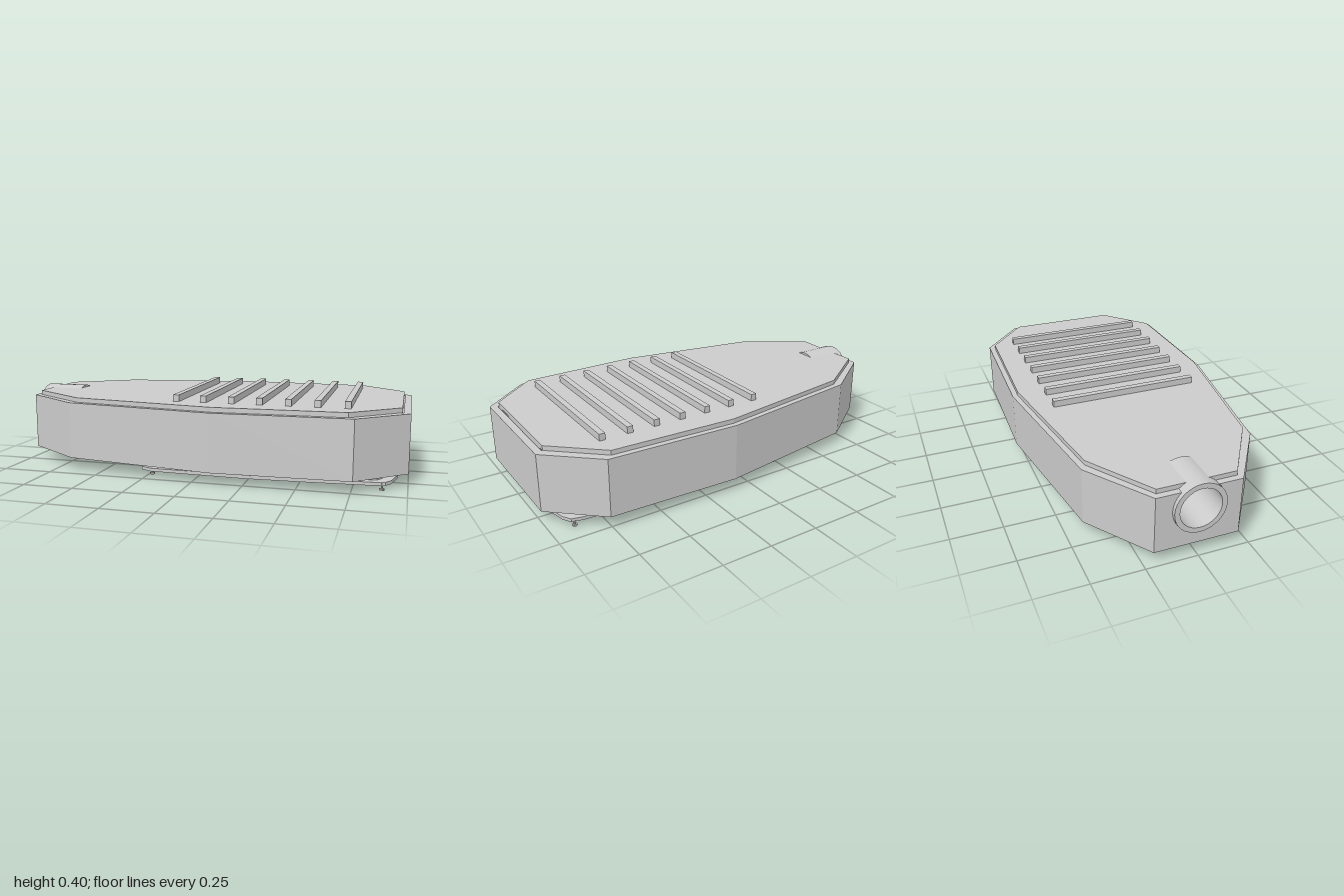
import * as THREE from 'three';

const material = new THREE.MeshStandardMaterial({ color: 0xcccccc, flatShading: true });
const smooth = new THREE.MeshStandardMaterial({ color: 0xcccccc, side: THREE.DoubleSide });

// Half outlines as [x, z] on the +z side, mirrored to make closed plans
const HOUSING = [[-0.98, 0.205], [-0.67, 0.42], [0.1, 0.535], [0.76, 0.515], [1, 0.305]];
const INNER = [[-0.95, 0.19], [-0.655, 0.385], [0.1, 0.497], [0.74, 0.478], [0.965, 0.285]];
const LID = [[-0.95, 0.19], [-0.64, 0.395], [0.1, 0.508], [0.73, 0.487], [0.96, 0.285]];
const FRAME = [[-0.305, 0.36], [-0.285, 0.41], [-0.23, 0.435], [0.25, 0.45], [0.55, 0.435],
  [0.85, 0.412], [0.9, 0.4], [0.925, 0.36], [0.95, 0.25]];
const COVER = [[-0.87, 0.17], [-0.83, 0.225], [-0.68, 0.325], [-0.6, 0.345], [-0.31, 0.345], [-0.29, 0.32]];

const mirrored = half => [...half, ...half.map(([x, z]) => [x, -z]).reverse()]
  .map(([x, z]) => new THREE.Vector2(x, z));

const scaled = (half, cx, sx, sz) => half.map(([x, z]) => [cx + (x - cx) * sx, z * sz]);

function add(group, name, geometry, x = 0, y = 0, z = 0, mat = material) {
  const mesh = new THREE.Mesh(geometry, mat);
  mesh.name = name;
  mesh.position.set(x, y, z);
  group.add(mesh);
  return mesh;
}

// Horizontal slab between two heights
function slab(points, y0, y1, hole) {
  const shape = new THREE.Shape(points);
  if (hole) shape.holes.push(new THREE.Path(hole));
  return new THREE.ExtrudeGeometry(shape, { depth: y1 - y0, bevelEnabled: false })
    .rotateX(-Math.PI / 2).translate(0, y0, 0);
}

export function createModel() {
  const group = new THREE.Group();
  group.name = 'streetLampHead';

  // Hollow housing wall, left open at the pipe end
  const wall = [...HOUSING, ...HOUSING.map(([x, z]) => [x, -z]).reverse(),
    ...INNER.map(([x, z]) => [x, -z]), ...[...INNER].reverse()];
  add(group, 'housingWall', slab(wall.map(p => new THREE.Vector2(...p)), 0.06, 0.345));

  // End wall with a notch for the pipe
  const R = 0.125, cy = 0.255, top = 0.345;
  const a = Math.asin((top - cy) / R), w = R * Math.cos(a);
  const end = new THREE.Shape();
  end.moveTo(-0.205, 0.06);
  end.lineTo(0.205, 0.06);
  end.lineTo(0.205, top);
  end.lineTo(w, top);
  end.absarc(0, cy, R, a, Math.PI - a, true);
  end.lineTo(-0.205, top);
  end.closePath();
  add(group, 'endWall', new THREE.ExtrudeGeometry(end, { depth: 0.03, bevelEnabled: false, curveSegments: 24 })
    .rotateY(Math.PI / 2), -0.98);

  // Lid: a thin deck on the housing carrying the raised plate
  add(group, 'lid', slab(mirrored(LID), 0.345, 0.368));
  add(group, 'lidSeat', slab(mirrored(scaled(HOUSING, 0, 0.96, 0.96)), 0.335, 0.3445));

  // Cooling fins
  for (let i = 0; i < 7; i++) {
    add(group, 'coolingFin', new THREE.BoxGeometry(0.03, 0.04, 0.76), -0.113 + i * 0.1385, 0.381, 0);
  }

  // Pipe socket: hollow tube closed at its inner end
  const socket = new THREE.Group();
  socket.name = 'pipeSocket';
  socket.position.set(-1, cy, 0);
  socket.rotation.z = -Math.PI / 2;
  group.add(socket);
  add(socket, 'socketOuter', new THREE.CylinderGeometry(R, R, 0.22, 32, 1, true), 0, 0.11, 0, smooth);
  add(socket, 'socketBore', new THREE.CylinderGeometry(0.1, 0.1, 0.22, 32, 1, true), 0, 0.11, 0, smooth);
  add(socket, 'socketRim', new THREE.RingGeometry(0.1, R, 32).rotateX(Math.PI / 2), 0, 0, 0, smooth);
  add(socket, 'socketBack', new THREE.CircleGeometry(R, 32).rotateX(-Math.PI / 2), 0, 0.22, 0, smooth);

  // Lens frame and glass under the wide end
  const opening = scaled(FRAME, 0.32, 0.92, 0.91);
  add(group, 'lensFrame', slab(mirrored(FRAME), 0.022, 0.038, mirrored(opening)));
  add(group, 'lensGlass', slab(mirrored(scaled(FRAME, 0.32, 0.93, 0.92)), 0.03, 0.045));

  // Access cover under the pipe end, with side latches
  add(group, 'accessCover', slab(mirrored(COVER), 0.037, 0.046));
  for (const side of [-1, 1]) {
    add(group, 'coverLatch', new THREE.BoxGeometry(0.12, 0.03, 0.03), -0.55, 0.06, side * 0.305);
  }

  // Frame screws
  for (const x of [-0.235, 0.885]) {
    for (const z of [-0.4, 0.4]) {
      add(group, 'screwHead', new THREE.CylinderGeometry(0.012, 0.012, 0.008, 12), x, 0.004, z);
      add(group, 'screwShank', new THREE.CylinderGeometry(0.005, 0.005, 0.03, 8), x, 0.02, z);
    }
  }
  return group;
}
